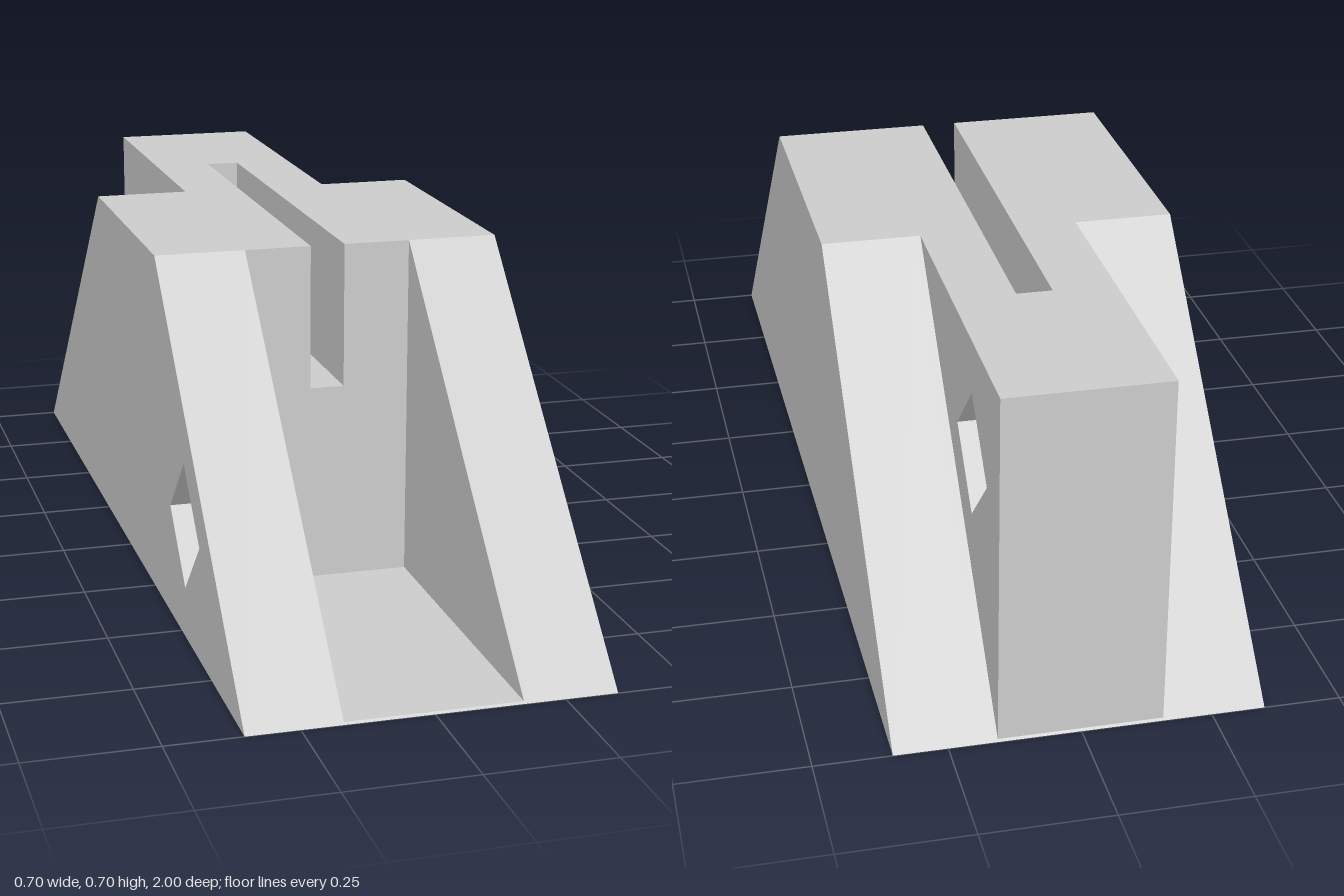
import * as THREE from 'three';

const H = 0.705;      // height
const W = 0.3525;     // half width
const SHOULDER = 0.295; // |z| where the slopes reach the top
const FLOOR = 0.004;  // thickness of the channel floor
const TAB = -0.996;   // back face of the tab

// Square hole standing on one corner
function diamond(z, y, r = 0.126) {
  return new THREE.Path([[z + r, y], [z, y - r], [z - r, y], [z, y + r]]
    .map(p => new THREE.Vector2(...p)));
}

export function createModel() {
  const group = new THREE.Group();
  const material = new THREE.MeshStandardMaterial({ color: 0xcccccc, flatShading: true });

  // Extrude a side profile given as (z, y) from x0 to x1
  function slab(name, profile, x0, x1, hole) {
    const shape = new THREE.Shape(profile.map(p => new THREE.Vector2(...p)));
    if (hole) shape.holes.push(hole);
    const geometry = new THREE.ExtrudeGeometry(shape, { depth: x1 - x0, bevelEnabled: false });
    geometry.rotateY(-Math.PI / 2).translate(x1, 0, 0);
    const mesh = new THREE.Mesh(geometry, material);
    mesh.name = name;
    group.add(mesh);
  }

  const channelFloor = [[-1, 0], [1, 0], [1 - FLOOR, FLOOR], [SHOULDER, FLOOR]];
  const wall = [[-1, 0], [1, 0], [SHOULDER, H], [-SHOULDER, H]];
  const shoulder = [...channelFloor, [SHOULDER, H], [-SHOULDER, H]];
  const tab = [...channelFloor, [SHOULDER, H], [TAB, H], [TAB, FLOOR]];
  const slotted = [...channelFloor, [SHOULDER, 0.41], [-0.595, 0.41], [-0.595, H], [TAB, H], [TAB, FLOOR]];

  // Sloped outer walls; only the one at -x is pierced
  slab('leftWall', wall, 0.17, W);
  slab('rightWall', wall, -W, -0.17, diamond(0.535, 0.228));

  // Thin strips where the front channel is wider than the back tab
  slab('leftShoulder', shoulder, 0.157, 0.17);
  slab('rightShoulder', shoulder, -0.17, -0.157);

  // Core with the pierced back tab, slotted in the middle
  const tabHole = () => diamond(-0.77, 0.475);
  slab('leftTabCore', tab, 0.035, 0.157, tabHole());
  slab('rightTabCore', tab, -0.157, -0.035, tabHole());
  slab('slottedCore', slotted, -0.035, 0.035, tabHole());

  return group;
}
